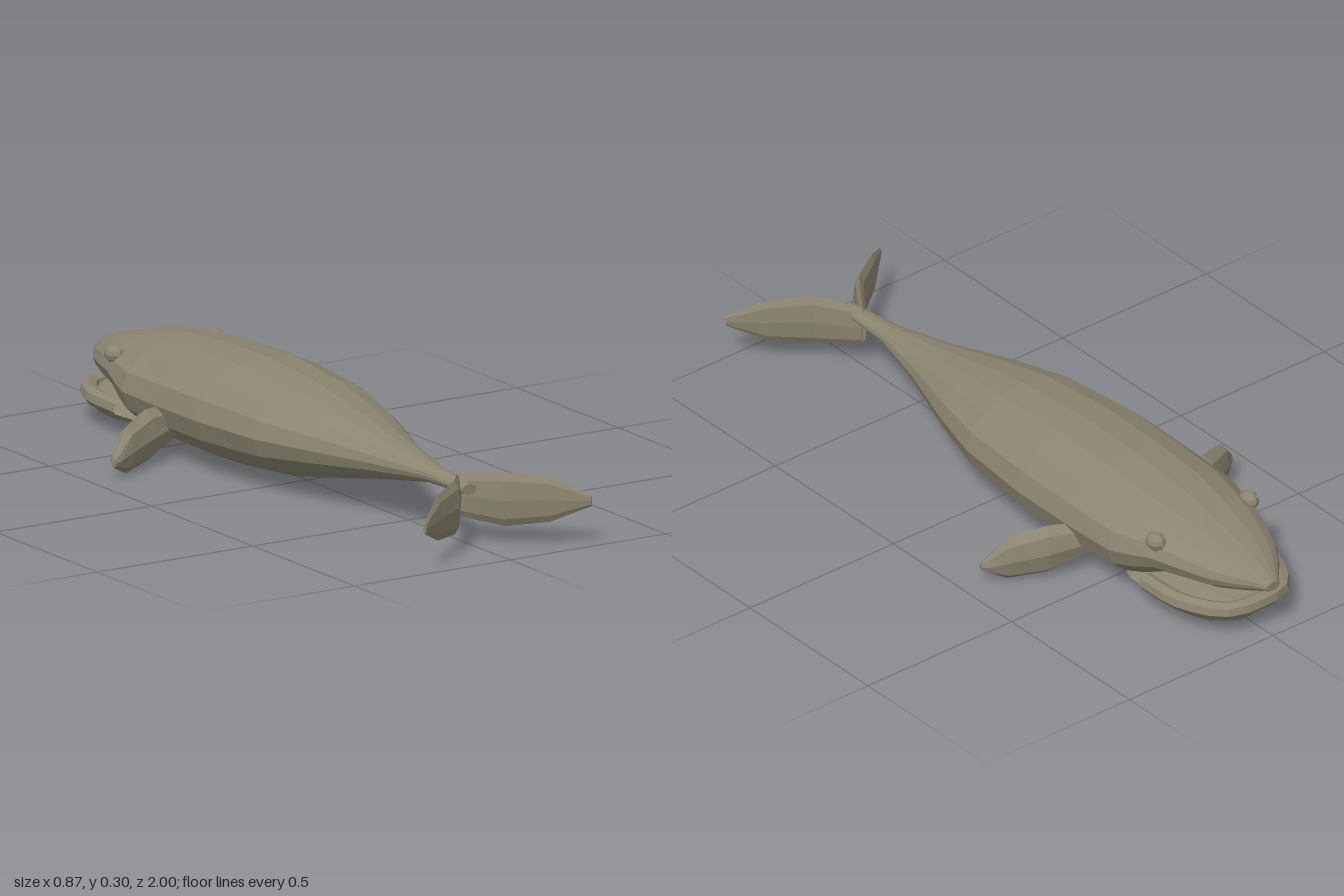
import * as THREE from 'three';

const skin = new THREE.MeshStandardMaterial({ color: 0x8a8570, flatShading: true });
skin.name = 'olive grey skin';

// Lofts elliptical rings along a direction; each section is [x, y, z, halfWidth, halfHeight]
function loft(name, sections, dir, sides) {
  const up = new THREE.Vector3(0, 1, 0);
  const side = up.clone().cross(dir).normalize();
  const pos = [], index = [];
  const n = sides, last = sections.length - 1;
  for (const [x, y, z, w, h] of sections) {
    for (let i = 0; i < n; i++) {
      const a = (i / n) * Math.PI * 2;
      const c = Math.cos(a) * w, s = Math.sin(a) * h;
      pos.push(x + side.x * c, y + s, z + side.z * c);
    }
  }
  for (let k = 0; k < last; k++) {
    for (let i = 0; i < n; i++) {
      const j = (i + 1) % n;
      const a = k * n + i, b = k * n + j, c = a + n, d = b + n;
      index.push(a, b, d, a, d, c);
    }
  }
  // end caps
  for (let i = 1; i < n - 1; i++) {
    index.push(0, i + 1, i);
    index.push(last * n, last * n + i, last * n + i + 1);
  }
  const geo = new THREE.BufferGeometry();
  geo.setAttribute('position', new THREE.Float32BufferAttribute(pos, 3));
  geo.setIndex(index);
  geo.computeVertexNormals();
  const mesh = new THREE.Mesh(geo, skin);
  mesh.name = name;
  return mesh;
}

// Turns [z, top, bottom, halfWidth] into a centred section
const ring = ([z, top, bottom, w]) => [0, (top + bottom) / 2, z, w, (top - bottom) / 2];
const forward = new THREE.Vector3(0, 0, 1);

export function createModel() {
  const model = new THREE.Group();
  model.name = 'whale';

  // body from snout (-z) to tail stock (+z)
  const body = [
    [-1.0, 0.172, 0.145, 0.022], [-0.97, 0.19, 0.135, 0.045], [-0.93, 0.205, 0.125, 0.08],
    [-0.87, 0.224, 0.11, 0.12], [-0.79, 0.247, 0.1, 0.155], [-0.7, 0.266, 0.085, 0.185],
    [-0.63, 0.277, 0.045, 0.206], [-0.57, 0.285, 0.022, 0.224], [-0.4, 0.297, 0.008, 0.228],
    [-0.2, 0.302, 0.005, 0.228], [0.05, 0.285, 0.025, 0.205], [0.23, 0.255, 0.06, 0.155],
    [0.43, 0.214, 0.1, 0.085], [0.62, 0.183, 0.133, 0.036], [0.8, 0.168, 0.138, 0.023],
  ];
  model.add(loft('body', body.map(ring), forward, 16));

  // lower jaw
  const jaw = [
    [-0.945, 0.085, 0.05, 0.05], [-0.92, 0.09, 0.03, 0.1], [-0.87, 0.095, 0.015, 0.14],
    [-0.8, 0.1, 0.01, 0.165], [-0.7, 0.1, 0.014, 0.175], [-0.6, 0.095, 0.025, 0.17],
    [-0.52, 0.08, 0.04, 0.14],
  ];
  model.add(loft('lowerJaw', jaw.map(ring), forward, 12));

  // lip wrapping round the jaw
  const lipPath = new THREE.CatmullRomCurve3([
    [-0.165, 0.075, -0.66], [-0.158, 0.078, -0.81], [-0.09, 0.078, -0.92], [0, 0.078, -0.935],
    [0.09, 0.078, -0.92], [0.158, 0.078, -0.81], [0.165, 0.075, -0.66],
  ].map((p) => new THREE.Vector3(...p)));
  const lip = new THREE.Mesh(new THREE.TubeGeometry(lipPath, 16, 0.025, 7), skin);
  lip.name = 'lip';
  model.add(lip);

  // paired parts, modelled on the +x side and mirrored
  for (const s of [1, -1]) {
    const half = new THREE.Group();
    half.name = s > 0 ? 'leftParts' : 'rightParts';
    half.scale.x = s;

    const flipper = [
      [0.14, 0.1, -0.43, 0.03, 0.04], [0.2, 0.092, -0.405, 0.036, 0.056],
      [0.275, 0.081, -0.375, 0.037, 0.073], [0.37, 0.064, -0.325, 0.028, 0.063],
      [0.415, 0.05, -0.3, 0.018, 0.026], [0.433, 0.045, -0.288, 0.007, 0.012],
    ];
    half.add(loft('flipper', flipper, new THREE.Vector3(0.87, 0, 0.45), 8));

    const fluke = [
      [0, 0.125, 0.74, 0.012, 0.058], [0.08, 0.125, 0.85, 0.017, 0.075],
      [0.18, 0.126, 0.92, 0.013, 0.063], [0.268, 0.125, 0.992, 0.005, 0.015],
    ];
    half.add(loft('tailFluke', fluke, new THREE.Vector3(0.73, 0, 0.68), 8));

    const eye = new THREE.Mesh(new THREE.SphereGeometry(1, 8, 6), skin);
    eye.name = 'eye';
    eye.position.set(0.162, 0.22, -0.7);
    eye.scale.set(0.027, 0.025, 0.032);
    half.add(eye);
    model.add(half);
  }
  return model;
}
